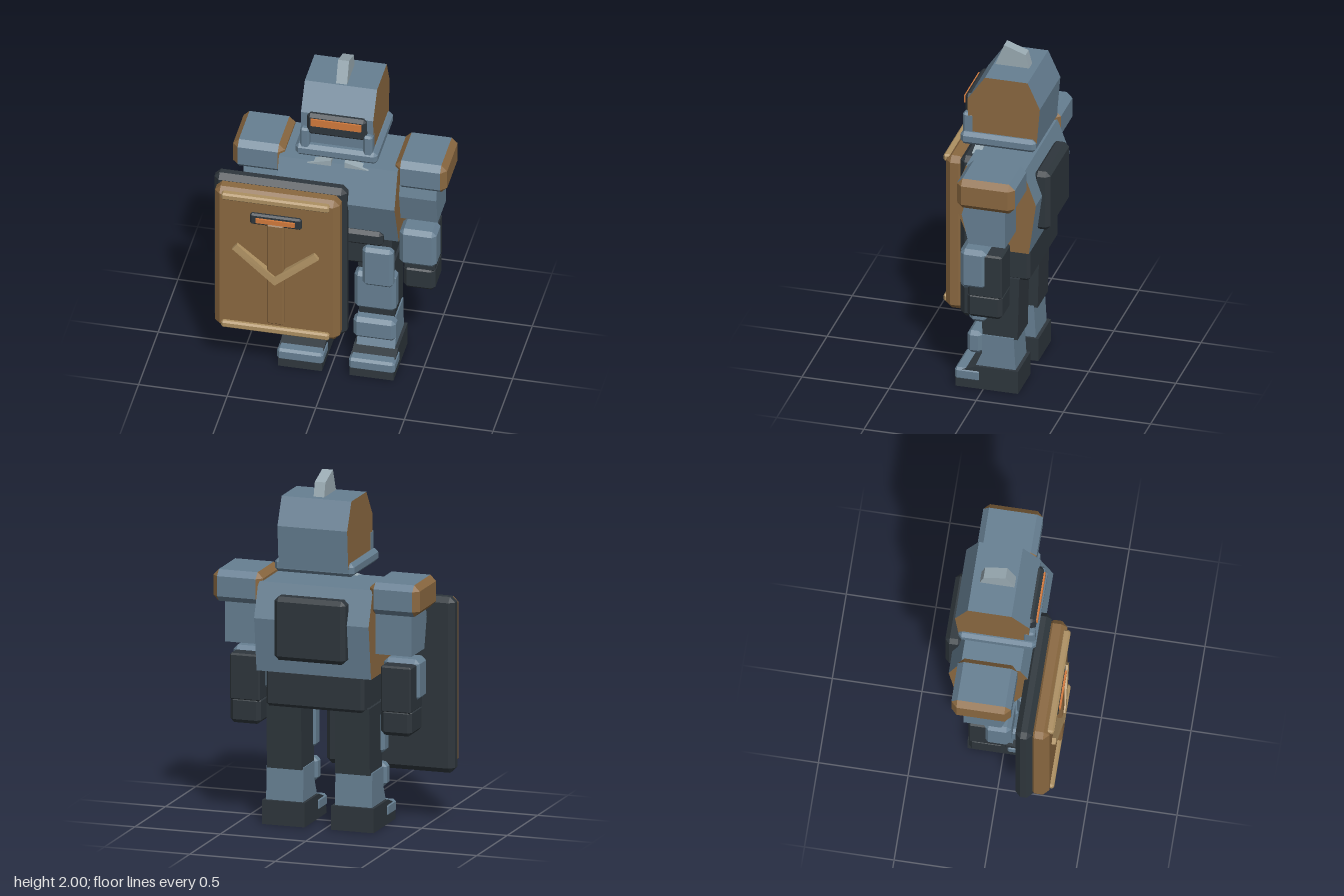
import * as THREE from 'three';
import { ConvexGeometry } from 'three/addons/geometries/ConvexGeometry.js';

const paint = (name, color) => {
  const m = new THREE.MeshStandardMaterial({ color });
  m.name = name;
  return m;
};

export function createModel() {
  const model = new THREE.Group();
  model.name = 'armouredRobot';
  const blue = paint('steelBlue', 0x667f92);
  const brown = paint('bronze', 0x8a6840);
  const dark = paint('charcoal', 0x2e363c);
  const tan = paint('paleBrass', 0xad9062);
  const orange = paint('glowOrange', 0xd27a3c);
  const pale = paint('paleSteel', 0x9aabb3);
  const C = 0.037; // centre line of the body

  const add = (name, geometry, material) => {
    const mesh = new THREE.Mesh(geometry, material);
    mesh.name = name;
    model.add(mesh);
    return mesh;
  };
  const hull = (name, material, pts) =>
    add(name, new ConvexGeometry(pts.map(p => new THREE.Vector3(...p))), material);

  // Box given by its x, y and z ranges, with every edge cut by b
  const block = (name, material, x, y, z, b = 0) => {
    const r = [x, y, z];
    if (!b) {
      const g = new THREE.BoxGeometry(...r.map(a => Math.abs(a[1] - a[0])));
      return add(name, g.translate(...r.map(a => (a[0] + a[1]) / 2)), material);
    }
    const pts = [];
    for (let i = 0; i < 8; i++) {
      for (let k = 0; k < 3; k++) {
        pts.push(r.map(([p, q], a) => {
          const lo = Math.min(p, q), hi = Math.max(p, q), inset = a === k ? 0 : b;
          return (i >> a) & 1 ? hi - inset : lo + inset;
        }));
      }
    }
    return hull(name, material, pts);
  };

  // Side outline of [z, y] points stretched between two x values; caps and rim may differ in colour
  const slab = (name, cap, rim, x, outline) => {
    const shape = new THREE.Shape(outline.map(([z, y]) => new THREE.Vector2(-z, y)));
    const x0 = Math.min(...x), depth = Math.abs(x[1] - x[0]);
    const g = new THREE.ExtrudeGeometry(shape, { depth, bevelEnabled: false });
    return add(name, g.rotateY(Math.PI / 2).translate(x0, 0, 0), [cap, rim]);
  };

  // Head, crest and neck
  slab('head', brown, blue, [-0.167, 0.241],
    [[0.12, 1.48], [0.125, 1.73], [0.025, 1.875], [-0.22, 1.875], [-0.29, 1.72], [-0.27, 1.48]]);
  slab('crest', pale, pale, [0.007, 0.069],
    [[0.025, 1.85], [-0.035, 2], [-0.158, 1.955], [-0.185, 1.85]]);
  block('jawRing', blue, [-0.195, 0.27], [1.455, 1.53], [-0.27, 0.162], 0.02);
  block('neck', dark, [-0.07, 0.145], [1.44, 1.48], [-0.15, 0.06]);
  block('visorFrame', dark, [-0.13, 0.207], [1.6, 1.738], [0.09, 0.152], 0.018);
  block('visor', orange, [-0.105, 0.18], [1.67, 1.715], [0.14, 0.162]);

  // Torso, backpack, belt and hips
  slab('torso', brown, blue, [-0.298, 0.372],
    [[0.065, 0.885], [0.175, 1.175], [0.095, 1.385], [-0.235, 1.385], [-0.305, 1.19], [-0.265, 0.885]]);
  block('backpack', dark, [-0.17, 0.247], [0.97, 1.33], [-0.347, -0.25], 0.025);
  block('hips', dark, [-0.25, 0.325], [0.685, 0.9], [-0.255, 0.05], 0.018);
  block('beltPlate', dark, [-0.215, 0.29], [0.86, 0.955], [0, 0.115], 0.02);

  // Parts on both sides: X maps a left-side range to the chosen side
  for (const s of [1, -1]) {
    const side = s > 0 ? 'left' : 'right';
    const X = (a, b) => [C + s * (a - C), C + s * (b - C)];
    const both = (name, mat, x, y, z, b) => block(side + name, mat, X(...x), y, z, b);

    both('CheekGuard', blue, [0.188, 0.242], [1.5, 1.638], [0.085, 0.155], 0.012);
    const [c0, c1] = X(0.075, 0.21);
    hull(side + 'CollarBlade', pale, [0.06, 0.11].flatMap(z =>
      [[c0, 1.375, z], [c0, 1.412, z], [c1, 1.375, z]]));

    // Shoulder pad: blue middle with bevelled bronze ends
    const y0 = 1.25, y1 = 1.43, z0 = -0.253, z1 = 0.08, b = 0.033;
    const ring = [[z0 + b, y0], [z1 - b, y0], [z1, y0 + b], [z1, y1 - b],
      [z1 - b, y1], [z0 + b, y1], [z0, y1 - b], [z0, y0 + b]];
    slab(side + 'ShoulderPad', blue, blue, X(0.382, 0.608), ring);
    for (const [inner, outer] of [[0.608, 0.641], [0.382, 0.349]]) {
      const [xi, xo] = X(inner, outer);
      const end = [z0 + b, z1 - b].flatMap(z => [y0 + b, y1 - b].map(y => [xo, y, z]));
      hull(side + 'ShoulderEnd', brown, [...ring.map(([z, y]) => [xi, y, z]), ...end]);
    }

    // Arm
    slab(side + 'UpperArm', blue, blue, X(0.36, 0.582),
      [[0.02, 1.015], [0.06, 1.19], [0.03, 1.3], [-0.19, 1.3], [-0.19, 1.015]]);
    both('Forearm', dark, [0.39, 0.567], [0.68, 0.945], [-0.165, 0.03], 0.01);
    both('ForearmGuard', blue, [0.373, 0.582], [0.73, 0.968], [-0.078, 0.073], 0.025);
    both('Hand', dark, [0.388, 0.568], [0.55, 0.702], [-0.165, 0.038], 0.022);

    // Leg
    slab(side + 'Thigh', dark, dark, X(0.135, 0.338),
      [[0.01, 0.32], [0.03, 0.7], [-0.2, 0.7], [-0.19, 0.32]]);
    both('HipPlate', blue, [0.178, 0.353], [0.603, 0.857], [0.07, 0.137], 0.02);
    both('ThighGuard', blue, [0.122, 0.357], [0.405, 0.65], [-0.015, 0.085], 0.022);
    slab(side + 'Shin', blue, blue, X(0.13, 0.346),
      [[0.055, 0.12], [0.01, 0.22], [0.01, 0.33], [-0.17, 0.33], [-0.182, 0.12]]);
    both('KneeGuard', blue, [0.118, 0.358], [0.21, 0.345], [0.01, 0.098], 0.022);
    slab(side + 'Foot', dark, dark, X(0.115, 0.363),
      [[0.16, 0], [0.155, 0.095], [0.04, 0.137], [-0.2, 0.137], [-0.2, 0]]);
    both('ToeCap', blue, [0.109, 0.369], [0.042, 0.115], [0.015, 0.165], 0.014);
  }

  // Shield on the right arm
  block('shieldRim', dark, [-0.643, 0.107], [0.29, 1.287], [0.117, 0.212], 0.03);
  block('shieldPlate', brown, [-0.62, 0.085], [0.315, 1.263], [0.19, 0.302], 0.032);
  for (const y of [0.333, 1.205]) {
    block('shieldBar', tan, [-0.575, 0.034], [y, y + 0.044], [0.28, 0.325], 0.01);
  }
  block('shieldRib', brown, [-0.315, -0.22], [0.405, 1.08], [0.29, 0.33], 0.008);
  block('shieldSlotFrame', dark, [-0.412, -0.122], [1.063, 1.135], [0.29, 0.322], 0.01);
  block('shieldSlot', orange, [-0.378, -0.157], [1.085, 1.113], [0.315, 0.333]);
  // Slanting bars that meet in the middle of the shield
  for (const s of [1, -1]) {
    const tip = -0.268, end = tip + s * 0.232;
    hull('shieldChevron', tan, [
      [tip, 0.682, 0.345], [tip, 0.735, 0.342], [tip, 0.682, 0.3], [tip, 0.735, 0.3],
      [end - s * 0.015, 0.912, 0.322], [end + s * 0.012, 0.88, 0.325],
      [end - s * 0.015, 0.912, 0.29], [end + s * 0.012, 0.88, 0.29]]);
  }
  return model;
}
